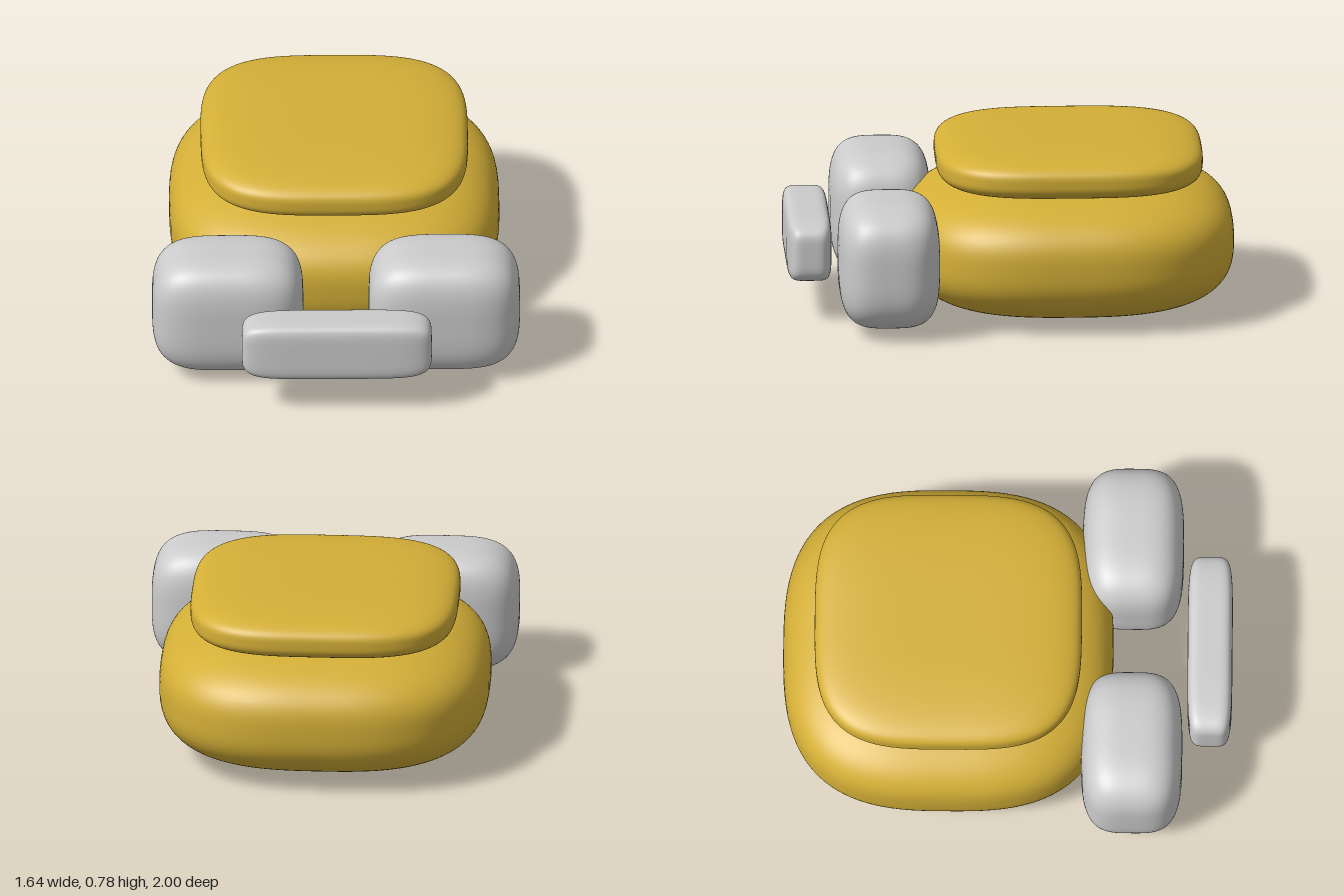
import * as THREE from 'three';

const gold = new THREE.MeshStandardMaterial({ color: 0xd4af37 });
const grey = new THREE.MeshStandardMaterial({ color: 0xcccccc });

// Pillow-shaped block: a subdivided cube pushed onto a superellipsoid with smooth normals.
// A higher power gives tighter corners.
function pillow(name, material, half, centre, power) {
  const geometry = new THREE.BoxGeometry(2, 2, 2, 28, 28, 28);
  const pos = geometry.attributes.position;
  const normal = geometry.attributes.normal;
  const p = new THREE.Vector3();
  const n = new THREE.Vector3();
  const slope = (v) => Math.sign(v) * Math.abs(v) ** (power - 1);
  for (let i = 0; i < pos.count; i++) {
    p.fromBufferAttribute(pos, i);
    const sum = Math.abs(p.x) ** power + Math.abs(p.y) ** power + Math.abs(p.z) ** power;
    p.divideScalar(sum ** (1 / power));
    n.set(slope(p.x) / half[0], slope(p.y) / half[1], slope(p.z) / half[2]).normalize();
    pos.setXYZ(i, p.x * half[0], p.y * half[1], p.z * half[2]);
    normal.setXYZ(i, n.x, n.y, n.z);
  }
  const mesh = new THREE.Mesh(geometry, material);
  mesh.name = name;
  mesh.position.set(...centre);
  return mesh;
}

export function createModel() {
  const model = new THREE.Group();
  model.name = 'cushionedBlocks';

  // Big soft base and the flat cushion resting on it
  model.add(pillow('body', gold, [0.735, 0.3, 0.735], [0, 0.302, -0.265], 2.85));
  model.add(pillow('topCushion', gold, [0.595, 0.105, 0.595], [0, 0.673, -0.265], 3.4));

  // Pair of front blocks
  for (const side of [-1, 1]) {
    const name = side > 0 ? 'leftFrontBlock' : 'rightFrontBlock';
    model.add(pillow(name, grey, [0.337, 0.282, 0.225], [side * 0.482, 0.317, 0.555], 3.5));
  }

  // Narrow bar across the front
  model.add(pillow('frontBar', grey, [0.423, 0.14, 0.1], [0, 0.315, 0.9], 5.5));

  return model;
}
